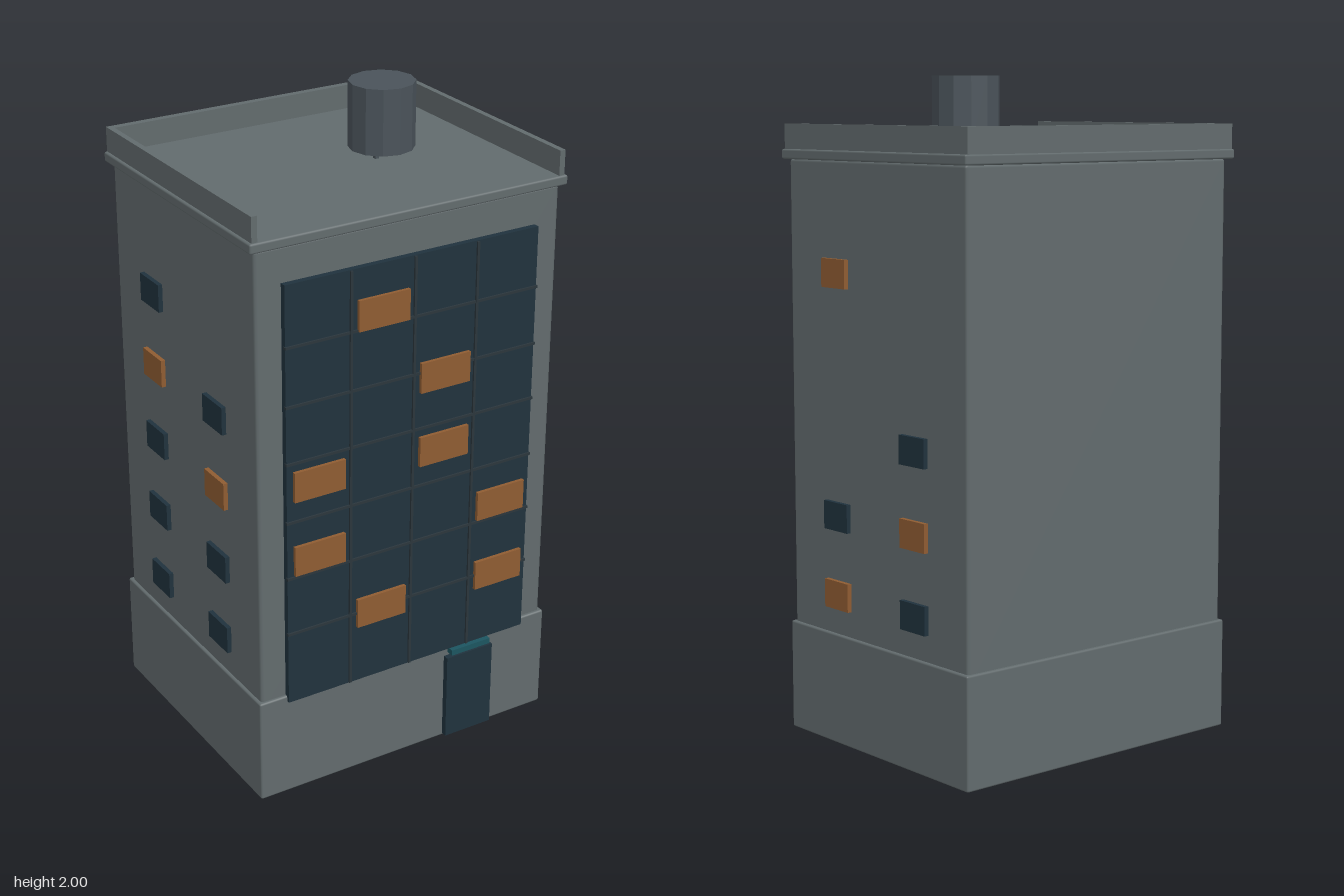
import * as THREE from 'three';
import { RoundedBoxGeometry } from 'three/addons/geometries/RoundedBoxGeometry.js';

const paint = (color, flatShading = false) => new THREE.MeshStandardMaterial({ color, flatShading });

export function createModel() {
  const model = new THREE.Group();
  const wall = paint(0x626b6d);
  const metal = paint(0x4a535a, true);
  const glass = paint(0x20323d);
  const lit = paint(0x8f5c32);
  const teal = paint(0x1c5560);
  const frame = paint(0x2b363c);

  // Box given by its [min, max] range on each axis, with an optional bevel
  function block(name, material, [x0, x1], [y0, y1], [z0, z1], bevel = 0) {
    const size = [x1 - x0, y1 - y0, z1 - z0];
    const geometry = bevel ? new RoundedBoxGeometry(...size, 1, bevel) : new THREE.BoxGeometry(...size);
    const mesh = new THREE.Mesh(geometry, material);
    mesh.name = name;
    mesh.position.set((x0 + x1) / 2, (y0 + y1) / 2, (z0 + z1) / 2);
    model.add(mesh);
    return mesh;
  }
  const around = (centre, size) => [centre - size / 2, centre + size / 2];

  // Main volumes
  block('base', wall, [-0.512, 0.512], [0, 0.338], [-0.437, 0.422], 0.006);
  block('tower', wall, [-0.502, 0.502], [0.3, 1.757], [-0.427, 0.412], 0.01);
  block('cornice', wall, [-0.521, 0.521], [1.755, 1.785], [-0.447, 0.427], 0.006);

  // Parapet on the back and both sides, open at the front
  block('backParapet', wall, [-0.512, 0.512], [1.78, 1.86], [-0.443, -0.421]);
  for (const side of [-1, 1]) {
    block('sideParapet', wall, around(side * 0.503, 0.018), [1.78, 1.86], [-0.422, 0.42]);
  }

  // Roof tank on short legs
  const tank = new THREE.Mesh(new THREE.CylinderGeometry(0.1, 0.1, 0.2, 12), metal);
  tank.name = 'roofTank';
  tank.position.set(0.18, 1.9, -0.03);
  model.add(tank);
  for (const dx of [-0.05, 0.05]) {
    for (const dz of [-0.05, 0.05]) {
      block('tankLeg', metal, around(0.18 + dx, 0.012), [1.78, 1.805], around(-0.03 + dz, 0.012));
    }
  }

  // Glass front with its grid of bars
  block('glassFront', glass, [-0.42, 0.42], [0.32, 1.65], [0.405, 0.431]);
  for (const x of [-0.21, 0, 0.21]) {
    block('mullion', frame, around(x, 0.008), [0.322, 1.648], [0.425, 0.437]);
  }
  for (const y of [0.555, 0.74, 0.922, 1.108, 1.285, 1.465]) {
    block('transom', frame, [-0.422, 0.422], around(y, 0.008), [0.425, 0.436]);
  }

  // Lit windows on the front: column centre, height
  const litFront = [
    [-0.105, 1.51], [0.105, 1.27], [-0.315, 1.034], [0.105, 1.034],
    [-0.315, 0.795], [0.315, 0.795], [-0.105, 0.556], [0.315, 0.556],
  ];
  for (const [x, y] of litFront) {
    block('litFrontWindow', lit, around(x, 0.168), around(y, 0.094), [0.425, 0.442]);
  }

  // Side windows: side, depth, height, whether lit
  const front = 0.178, back = -0.192;
  const sideWindows = [
    [1, front, 1.426, true], [1, front, 0.7, false], [1, front, 0.46, true],
    [1, back, 0.943, false], [1, back, 0.7, true], [1, back, 0.46, false],
    [-1, front, 1.185, false], [-1, front, 0.943, true], [-1, front, 0.7, false], [-1, front, 0.46, false],
    [-1, back, 1.426, false], [-1, back, 1.185, true], [-1, back, 0.943, false],
    [-1, back, 0.7, false], [-1, back, 0.46, false],
  ];
  for (const [side, z, y, isLit] of sideWindows) {
    block(isLit ? 'litSideWindow' : 'darkSideWindow', isLit ? lit : glass,
      around(side * 0.505, 0.022), around(y, 0.086), around(z, 0.115));
  }

  // Entrance
  block('door', glass, [0.137, 0.304], [0.008, 0.292], [0.41, 0.441]);
  block('doorLight', teal, [0.15, 0.29], [0.302, 0.32], [0.415, 0.447]);

  return model;
}
